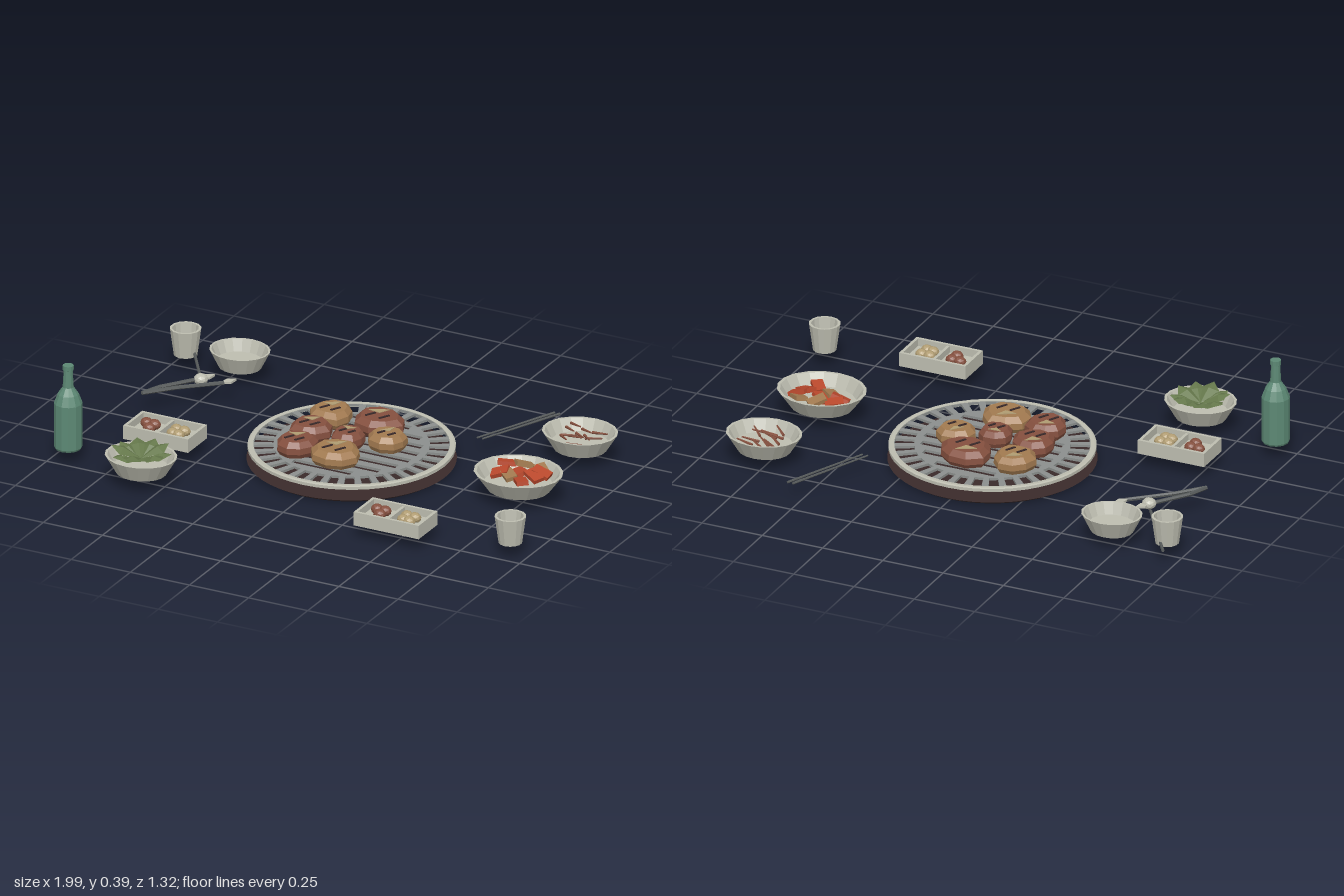
import * as THREE from 'three';

const mat = (name, color, extra = {}) => {
  const m = new THREE.MeshStandardMaterial({ color, flatShading: true, ...extra });
  m.name = name;
  return m;
};
const M = {
  ceramic: mat('ceramic', 0xbdbdb0),
  steel: mat('grillSteel', 0x8b8f8d),
  darkSteel: mat('darkSteel', 0x565a5a),
  ember: mat('charcoal', 0x3a2a2a),
  glass: mat('bottleGreen', 0x5c8874),
  leaf: mat('leafGreen', 0x66794c, { side: THREE.DoubleSide }),
  meat: mat('searedMeat', 0x85503f),
  tan: mat('tanMeat', 0xa27a50),
  red: mat('pickleRed', 0xb9482c),
  cream: mat('paste', 0xb09c72),
};

let seed = 7;
const rnd = () => (seed = (seed * 16807) % 2147483647) / 2147483647;
const V = (x, y, z) => new THREE.Vector3(x, y, z);
const BASE = 0.055;

function add(parent, name, geo, material, x = 0, y = 0, z = 0) {
  const m = new THREE.Mesh(geo, material);
  m.name = name;
  m.position.set(x, y, z);
  parent.add(m);
  return m;
}
function group(parent, name, x = 0, y = 0, z = 0) {
  const g = new THREE.Group();
  g.name = name;
  g.position.set(x, y, z);
  parent.add(g);
  return g;
}
const lathe = (pts, sides) => new THREE.LatheGeometry(pts.map(p => new THREE.Vector2(...p)), sides);

// Thin rod between two points
function rod(parent, name, a, b, r, material, r2 = r, sides = 6) {
  const m = add(parent, name, new THREE.CylinderGeometry(r2, r, a.distanceTo(b), sides), material);
  m.position.copy(a).lerp(b, 0.5);
  m.quaternion.setFromUnitVectors(V(0, 1, 0), b.clone().sub(a).normalize());
  return m;
}

// Oval bowl with an inside floor
function bowl(parent, name, x, z, r, h = 0.07) {
  const g = group(parent, name, x, BASE, z);
  const geo = lathe([[0, 0], [r * 0.7, 0], [r, h], [r * 0.93, h], [r * 0.76, h * 0.35], [0, h * 0.35]], 18);
  add(g, 'bowlShell', geo.scale(1, 1, 0.88), M.ceramic);
  return g;
}

function cup(parent, x, z) {
  add(parent, 'cup', lathe([[0, 0], [0.045, 0], [0.06, 0.108], [0.05, 0.108], [0.043, 0.05], [0, 0.05]], 14),
    M.ceramic, x, BASE, z);
}

// Irregular bevelled slab of meat with fat patch and char marks
function steak(parent, x, z, rx, rz, material) {
  const g = group(parent, 'meatPiece', x, 0.068, z);
  const n = 9, h = 0.062;
  const wobble = Array.from({ length: n }, () => 0.87 + rnd() * 0.2);
  const geo = lathe([[0, 0], [0.86, 0], [1, 0.3 * h], [0.98, 0.68 * h], [0.74, h], [0, h]], n);
  const p = geo.attributes.position;
  for (let i = 0; i < p.count; i++) {
    const k = Math.floor(i / 6) % n;
    p.setXYZ(i, p.getX(i) * wobble[k] * rx, p.getY(i), p.getZ(i) * wobble[k] * rz);
  }
  add(g, 'meatSlab', geo, material);
  const fat = add(g, 'fatPatch', new THREE.CylinderGeometry(0.4, 0.4, 0.003, 3).scale(rx * 1.1, 1, rz * 0.55),
    M.cream, -rx * 0.12, h + 0.001, -rz * 0.3);
  fat.rotation.y = rnd();
  for (const s of [-1, 1]) {
    const mark = add(g, 'charMark', new THREE.BoxGeometry(0.008, 0.004, rz * 0.5), M.ember,
      s * rx * 0.27, h + 0.002, rz * 0.18);
    mark.rotation.y = -0.5;
  }
}

// Grill plate with a ring of radial slots and straight slots in the middle
function grillPlate() {
  const shape = new THREE.Shape().absarc(0, 0, 0.372, 0, Math.PI * 2);
  const hole = pts => shape.holes.push(new THREE.Path(pts.map(p => new THREE.Vector2(...p))));
  const n = 34, r0 = 0.293, r1 = 0.366;
  for (let i = 0; i < n; i++) {
    const a = i / n * Math.PI * 2, w = Math.PI / n * 0.6;
    hole([[r0, -w], [r1, -w], [r1, w], [r0, w]].map(([r, d]) => [r * Math.cos(a + d), r * Math.sin(a + d)]));
  }
  for (let i = 0; i < 8; i++) {
    const y = (i - 3.5) * 0.067, l = Math.sqrt(0.265 ** 2 - y * y), w = 0.016;
    hole([[-l, -w + y], [l, -w + y], [l, w + y], [-l, w + y]]);
  }
  const geo = new THREE.ExtrudeGeometry(shape, { depth: 0.01, bevelEnabled: false, curveSegments: 24 });
  return geo.rotateX(Math.PI / 2);
}

// Two-compartment tray with balls of paste
function sauceTray(parent, x, z) {
  const g = group(parent, 'sauceTray', x, BASE, z);
  const w = 0.275, d = 0.153, h = 0.055, t = 0.012;
  add(g, 'trayFloor', new THREE.BoxGeometry(w, 0.025, d), M.ceramic, 0, 0.0125, 0);
  for (const s of [-1, 1]) {
    add(g, 'traySide', new THREE.BoxGeometry(w, h, t), M.ceramic, 0, h / 2, s * (d - t) / 2);
    add(g, 'trayEnd', new THREE.BoxGeometry(t, h, d), M.ceramic, s * (w - t) / 2, h / 2, 0);
  }
  add(g, 'trayDivider', new THREE.BoxGeometry(t, h - 0.004, d - t), M.ceramic, 0, h / 2 - 0.002, 0);
  const spots = [[-0.022, -0.018], [0.012, -0.016], [0.008, 0.02], [-0.018, 0.016]];
  spots.forEach(([bx, bz], i) => {
    const ball = () => new THREE.IcosahedronGeometry(0.025, 1).scale(1, 0.85, 0.9);
    if (i < 3) add(g, 'redPaste', ball(), M.meat, bx - 0.065, 0.04, bz);
    add(g, 'palePaste', ball(), M.cream, bx + 0.06, 0.038, bz * 1.1);
  });
}

// Pointed leaf folded along its midrib
function leafGeo(L, W) {
  const v = [[0, 0, 0], [L * 0.65, 0.012, -W], [L * 0.6, 0.026, 0], [L * 0.65, 0.012, W], [L, 0.022, 0]];
  const geo = new THREE.BufferGeometry();
  geo.setAttribute('position', new THREE.Float32BufferAttribute(v.flat(), 3));
  geo.setIndex([0, 2, 1, 0, 3, 2, 1, 2, 4, 2, 3, 4]);
  geo.computeVertexNormals();
  return geo;
}

export function createModel() {
  const root = new THREE.Group();
  root.name = 'tableGrill';

  // Grill
  const grill = group(root, 'grill', 0.005, 0, -0.04);
  add(grill, 'charcoalPan', new THREE.CylinderGeometry(0.394, 0.376, 0.012, 48), M.ember, 0, 0.006, 0);
  add(grill, 'grillPlate', grillPlate(), M.steel, 0, 0.066, 0);
  add(grill, 'grillRim', lathe([[0.368, 0.054], [0.39, 0.054], [0.39, 0.066], [0.383, 0.069], [0.368, 0.068], [0.368, 0.054]], 48), M.ceramic);

  // Meat
  [[-0.155, -0.185, 0.085, 0.085, M.tan], [0.035, -0.205, 0.108, 0.09, M.meat],
   [0.14, -0.075, 0.08, 0.068, M.tan], [-0.16, -0.03, 0.085, 0.085, M.meat],
   [0.0, -0.025, 0.07, 0.064, M.meat], [-0.145, 0.12, 0.08, 0.084, M.meat],
   [0.028, 0.13, 0.1, 0.092, M.tan]].forEach(a => steak(root, ...a));

  // Side bowls
  bowl(root, 'emptyBowl', -0.708, -0.495, 0.118);
  const fish = bowl(root, 'driedFishBowl', 0.765, -0.43, 0.147);
  const pickle = bowl(root, 'pickleBowl', 0.733, 0.003, 0.173);
  const salad = bowl(root, 'lettuceBowl', -0.585, 0.53, 0.14);

  // Small dried fish
  for (let i = 0; i < 12; i++) {
    const x = ((i % 3) - 1) * 0.05 + (rnd() - 0.5) * 0.03, z = (Math.floor(i / 3) - 1.5) * 0.04;
    const a = rnd() * 1.2 - 0.3, y = 0.035 + rnd() * 0.022;
    const dx = Math.cos(a) * 0.034, dz = Math.sin(a) * 0.034;
    rod(fish, 'driedFish', V(x - dx, y, z - dz), V(x + dx, y + 0.01, z + dz), 0.006, M.meat, 0.003, 5);
  }

  // Pickle chunks
  [[-0.085, -0.07, 0], [-0.02, -0.085, 1], [0.06, -0.075, 1], [-0.08, -0.005, 0], [-0.015, -0.035, 0],
   [0.06, -0.01, 0], [0.035, 0.045, 0], [0.075, -0.045, 0], [-0.035, 0.01, 1]].forEach(([x, z, tan]) => {
    const c = add(pickle, 'pickleChunk', new THREE.BoxGeometry(0.07, 0.016, 0.045), tan ? M.tan : M.red,
      x, 0.05 + rnd() * 0.018, z);
    c.rotation.set((rnd() - 0.5) * 0.7, rnd() * 2 - 1, (rnd() - 0.5) * 0.7);
  });

  // Lettuce
  for (let i = 0; i < 10; i++) {
    const l = add(salad, 'lettuceLeaf', leafGeo(0.12, 0.042), M.leaf, 0, 0.048 + (i % 2) * 0.008, 0);
    l.rotation.set(0, i / 10 * Math.PI * 2 + 0.3, 0.1 + (i % 3) * 0.05);
  }

  sauceTray(root, -0.648, 0.218);
  sauceTray(root, 0.483, 0.513);
  cup(root, 0.935, 0.45);
  cup(root, -0.94, -0.5);

  // Bottle
  add(root, 'bottle', lathe([[0, 0], [0.05, 0], [0.054, 0.008], [0.054, 0.185], [0.04, 0.222], [0.021, 0.25],
    [0.017, 0.318], [0.021, 0.32], [0.021, 0.338], [0, 0.338]], 12), M.glass, -0.93, BASE, 0.46);

  // Chopsticks
  for (const x of [0, 0.022])
    rod(root, 'chopstick', V(0.387 + x, 0.061, -0.322), V(0.536 + x, 0.061, -0.66), 0.0035, M.darkSteel, 0.005);

  // Spoon
  const spoon = group(root, 'spoon');
  rod(spoon, 'spoonHandle', V(-0.97, 0.068, -0.6), V(-0.785, 0.075, -0.32), 0.006, M.darkSteel);
  add(spoon, 'spoonBowl', new THREE.IcosahedronGeometry(0.028, 1).scale(1, 0.8, 1), M.ceramic, -0.757, 0.08, -0.275);

  // Tongs with flat diamond tips
  const tongs = group(root, 'tongs');
  const hinge = V(-0.892, 0.08, -0.06);
  for (const [mid, end] of [[V(-0.86, 0.08, -0.14), V(-0.755, 0.08, -0.285)], [V(-0.8, 0.08, -0.165), V(-0.665, 0.08, -0.285)]]) {
    rod(tongs, 'tongHinge', hinge, mid, 0.008, M.darkSteel);
    rod(tongs, 'tongArm', mid, end, 0.008, M.darkSteel);
    const tip = add(tongs, 'tongTip', new THREE.CylinderGeometry(0.032, 0.032, 0.009, 4).scale(0.55, 1, 1), M.ceramic,
      end.x + 0.01, 0.08, end.z - 0.02);
    tip.rotation.y = -0.6;
  }
  return root;
}
